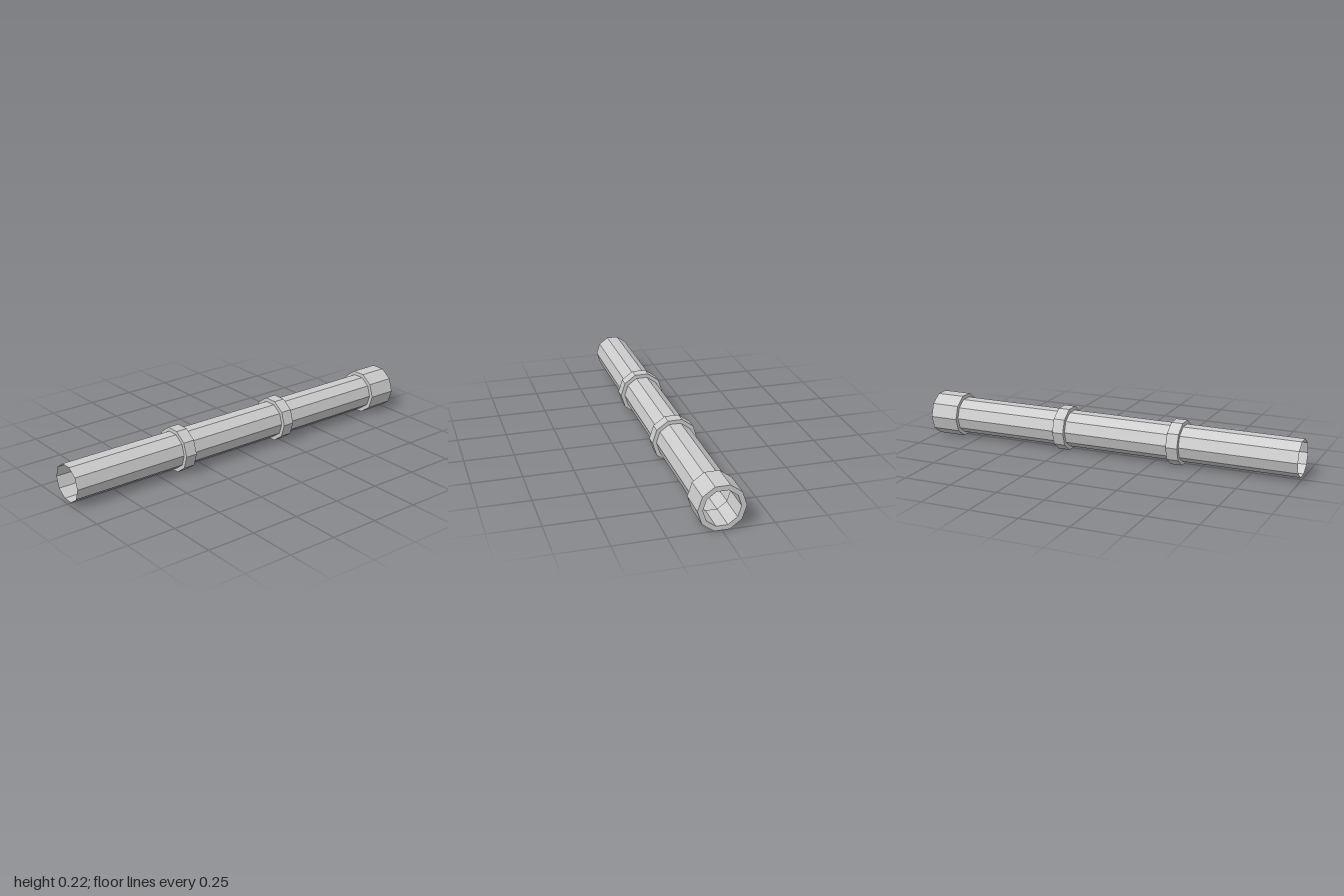
import * as THREE from 'three';

const SIDES = 10;
const AXIS_Y = 0.11;
const PIPE_R = 0.094;
const COLLAR_R = 0.114;
const BORE_R = 0.089;

// Ten-sided surface around the z axis from [radius, z] points, flat side up
function turned(name, profile, material) {
  const points = profile.map(([r, z]) => new THREE.Vector2(r, z));
  const geometry = new THREE.LatheGeometry(points, SIDES, Math.PI / 2);
  geometry.rotateX(Math.PI / 2);
  const mesh = new THREE.Mesh(geometry, material);
  mesh.name = name;
  mesh.position.y = AXIS_Y;
  return mesh;
}

// Closed ring with a bore slightly narrower than the pipe
function collar(name, back, front, material) {
  return turned(name, [
    [BORE_R, back], [COLLAR_R, back], [COLLAR_R, front], [BORE_R, front], [BORE_R, back],
  ], material);
}

export function createModel() {
  const model = new THREE.Group();
  model.name = 'pipe';
  const material = new THREE.MeshStandardMaterial({
    color: 0xcccccc, flatShading: true, side: THREE.DoubleSide,
  });

  // Thin open tube
  model.add(turned('tube', [[PIPE_R, -0.99], [PIPE_R, 1]], material));

  // Socket at the back end and two bands along the tube
  model.add(collar('endSocket', -1, -0.85, material));
  model.add(collar('rearBand', -0.28, -0.22, material));
  model.add(collar('frontBand', 0.34, 0.4, material));

  return model;
}
